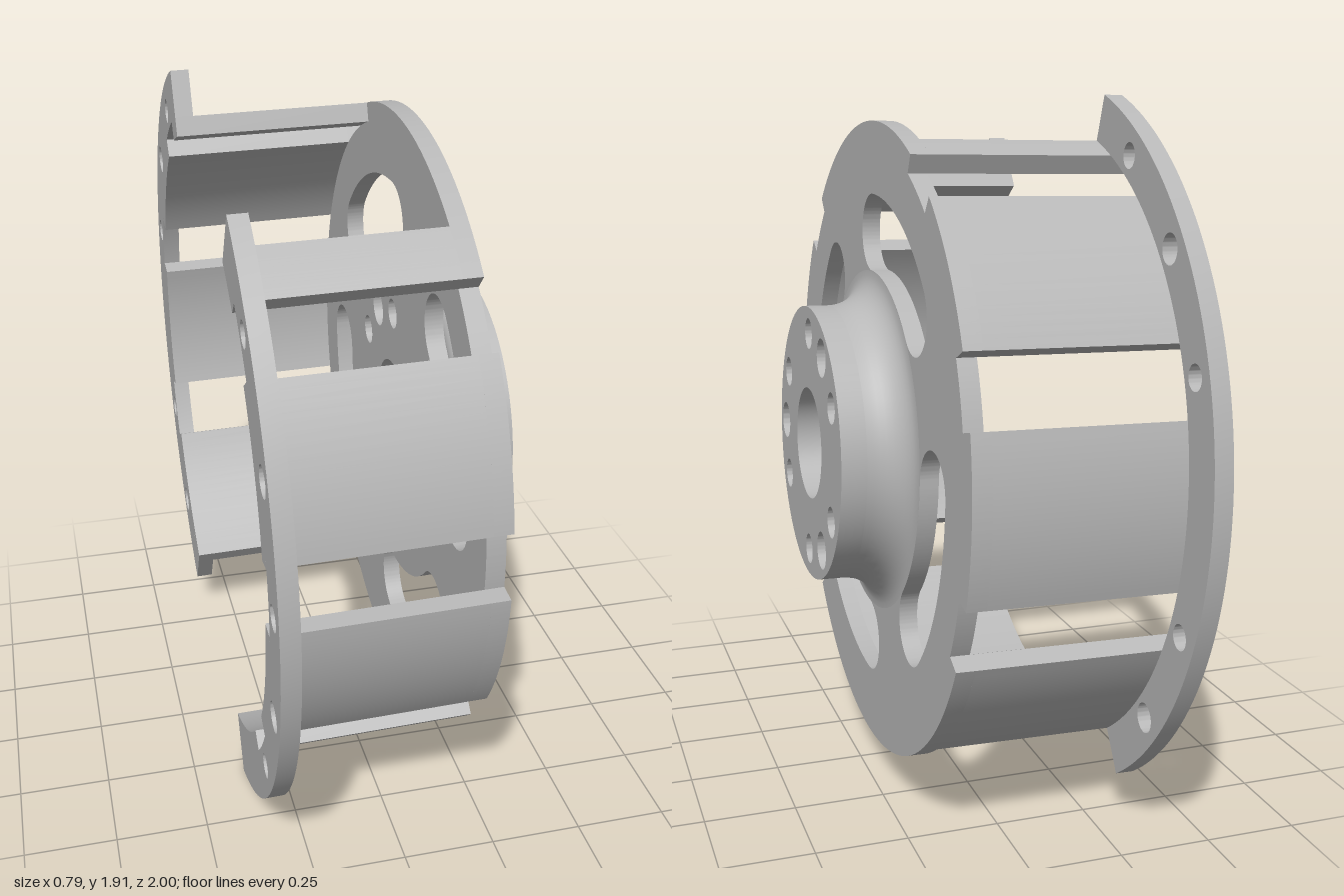
import * as THREE from 'three';
import { toCreasedNormals } from 'three/addons/utils/BufferGeometryUtils.js';

const rad = THREE.MathUtils.degToRad;
const R_IN = 0.825, R_DISC = 0.877, R_FLANGE = 1.0, R_HUB = 0.38, R_BORE = 0.155;
const BACK = -0.379, FLANGE_FRONT = -0.33, DISC_BACK = 0.157, DISC_FRONT = 0.207, HUB_FRONT = 0.385;
const WINDOWS = [-20, 20, 60, 140, 180, 220], HALF = 6; // degrees around the axis

// Ring sector between two radii
function sector(r0, r1, a0, a1) {
  const s = new THREE.Shape();
  s.absarc(0, 0, r1, rad(a0), rad(a1), false);
  s.absarc(0, 0, r0, rad(a1), rad(a0), true);
  s.closePath();
  return s;
}

// Round hole at polar position
function hole(r, angle, size) {
  const p = new THREE.Path();
  p.absarc(r * Math.cos(rad(angle)), r * Math.sin(rad(angle)), size, 0, Math.PI * 2, true);
  return p;
}

// Curved slot with round ends
function slot(rc, w, a0, a1) {
  const p = new THREE.Path(), s = rad(a0), e = rad(a1);
  p.absarc(0, 0, rc + w, s, e, false);
  p.absarc(rc * Math.cos(e), rc * Math.sin(e), w, e, e + Math.PI, false);
  p.absarc(0, 0, rc - w, e, s, true);
  p.absarc(rc * Math.cos(s), rc * Math.sin(s), w, s + Math.PI, s + Math.PI * 2, false);
  return p;
}

export function createModel() {
  const metal = new THREE.MeshStandardMaterial({ color: 0xb8b8b8 });
  metal.name = 'grey metal';
  const model = new THREE.Group();
  model.name = 'slottedDrum';
  const drum = new THREE.Group(); // local z is the drum axis
  drum.name = 'drum';
  drum.rotation.y = Math.PI / 2;
  const tilt = new THREE.Group();
  tilt.name = 'tiltedDrum';
  tilt.rotation.z = rad(1.05);
  tilt.position.y = 0.961;
  tilt.add(drum);
  model.add(tilt);

  const add = (name, geometry) => {
    const mesh = new THREE.Mesh(geometry, metal);
    mesh.name = name;
    drum.add(mesh);
  };
  const plate = (name, shape, z0, z1, segments = 24) => {
    const g = new THREE.ExtrudeGeometry(shape, { depth: z1 - z0, bevelEnabled: false, curveSegments: segments });
    g.translate(0, 0, z0);
    add(name, toCreasedNormals(g, rad(25)));
  };

  // Disc with a notch at each window and four curved slots
  const disc = new THREE.Shape();
  WINDOWS.forEach((w, i) => {
    const next = i < WINDOWS.length - 1 ? WINDOWS[i + 1] : WINDOWS[0] + 360;
    disc.absarc(0, 0, R_IN, rad(w - HALF), rad(w + HALF), false);
    disc.absarc(0, 0, R_DISC, rad(w + HALF), rad(next - HALF), false);
  });
  disc.closePath();
  for (let k = 0; k < 4; k++) disc.holes.push(slot(0.58, 0.104, k * 90 - 45, k * 90));
  disc.holes.push(hole(0, 0, R_HUB));
  plate('disc', disc, DISC_BACK, DISC_FRONT, 32);

  // Hub with centre bore, small bolt holes and larger pin holes
  const hub = new THREE.Shape();
  hub.absarc(0, 0, R_HUB, 0, Math.PI * 2, false);
  hub.holes.push(hole(0, 0, R_BORE));
  [30, 90, 150, 210, 270, 330].forEach(a => hub.holes.push(hole(0.307, a, 0.042)));
  [60, 180, 300].forEach(a => hub.holes.push(hole(0.307, a, 0.052)));
  plate('hub', hub, DISC_BACK, HUB_FRONT, 32);

  // Concave fillet where the hub meets the disc
  const profile = [];
  for (let i = 0; i <= 10; i++) {
    const a = (i / 10) * Math.PI / 2;
    profile.push(new THREE.Vector2(0.475 - 0.095 * Math.sin(a), DISC_FRONT + 0.11 * (1 - Math.cos(a))));
  }
  const fillet = new THREE.LatheGeometry(profile, 64);
  fillet.rotateX(Math.PI / 2);
  add('hubFillet', fillet);

  // Two opposite flange arcs, each with its wall panels between windows
  const sides = [
    { name: 'rear', from: -55.5, to: 72.5, holes: [-40, -20, 20, 40, 60] },
    { name: 'front', from: 124.6, to: 252.6, holes: [140, 160, 180, 200, 220] },
  ];
  for (const side of sides) {
    const flange = sector(R_DISC, R_FLANGE, side.from, side.to);
    side.holes.forEach(a => flange.holes.push(hole(0.93, a, WINDOWS.includes(a) ? 0.033 : 0.039)));
    plate(side.name + 'Flange', flange, BACK, FLANGE_FRONT, 32);

    let start = side.from;
    const cuts = WINDOWS.filter(w => w > side.from && w < side.to);
    for (const w of [...cuts, side.to + HALF]) {
      plate(side.name + 'WallPanel', sector(R_IN, R_DISC, start, w - HALF), BACK, DISC_BACK, 8);
      start = w + HALF;
    }
  }
  return model;
}
